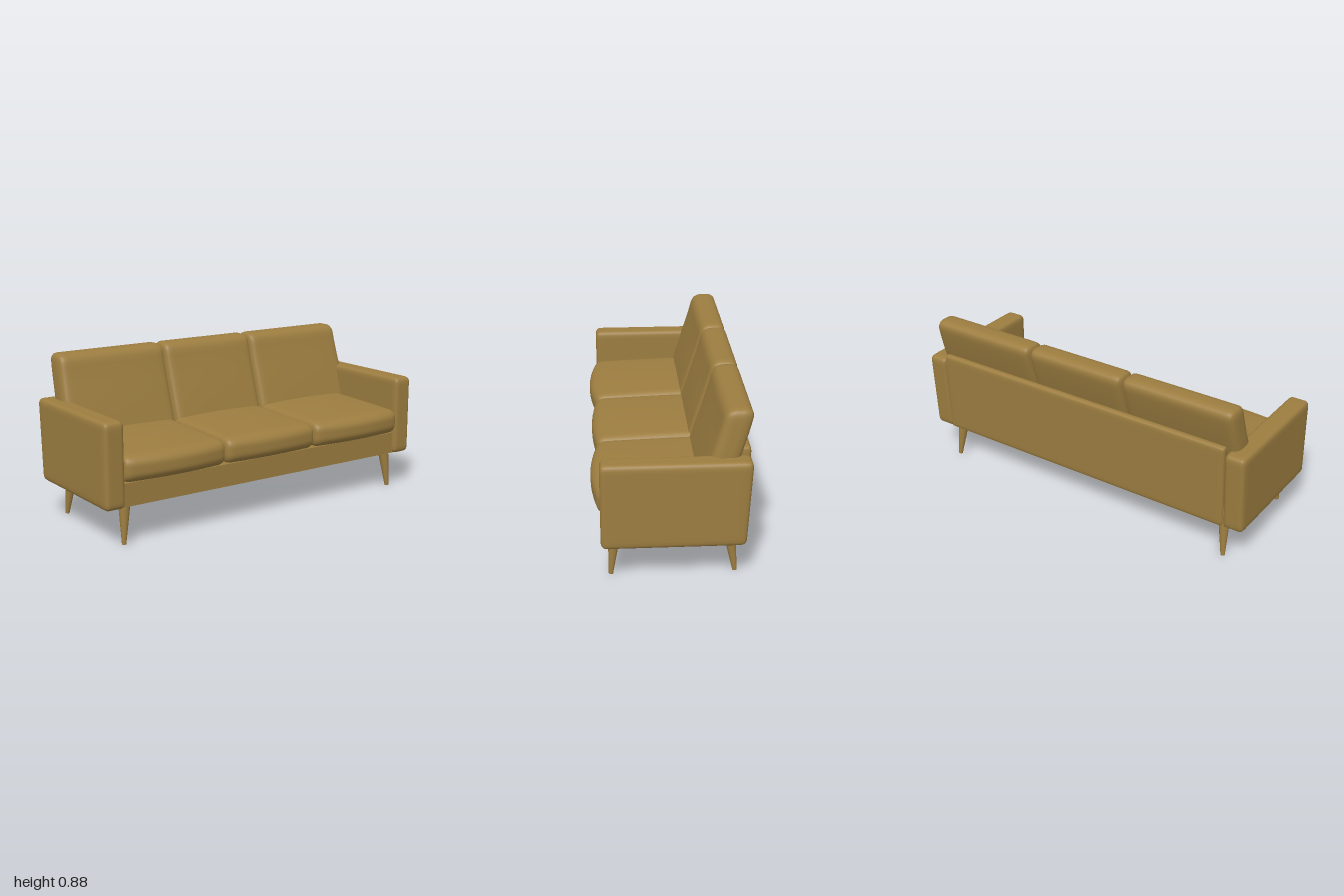
import * as THREE from 'three';
import { mergeVertices } from 'three/addons/utils/BufferGeometryUtils.js';

// Rounded box with soft edges (radii per axis), optionally reshaped by warp(p, u),
// where u holds the position scaled to -1..1
function softBox(size, radii, warp, seg = 20) {
  let g = new THREE.BoxGeometry(2, 2, 2, seg, seg, seg);
  g.deleteAttribute('normal');
  g.deleteAttribute('uv');
  g = mergeVertices(g, 1e-4);
  const half = new THREE.Vector3(...size).multiplyScalar(0.5);
  const r = new THREE.Vector3(...radii);
  const inner = half.clone().sub(r);
  const pos = g.attributes.position;
  const p = new THREE.Vector3(), c = new THREE.Vector3(), d = new THREE.Vector3();
  for (let i = 0; i < pos.count; i++) {
    p.fromBufferAttribute(pos, i);
    // crowd the grid lines towards the edges
    for (const k of ['x', 'y', 'z']) p[k] = Math.sin(p[k] * Math.PI / 2) * half[k];
    c.copy(p).clamp(inner.clone().negate(), inner);
    d.copy(p).sub(c).divide(r).normalize().multiply(r);
    p.copy(c).add(d);
    if (warp) warp(p, p.clone().divide(half));
    pos.setXYZ(i, p.x, p.y, p.z);
  }
  g.computeVertexNormals();
  return g;
}

export function createModel() {
  const sofa = new THREE.Group();
  sofa.name = 'sofa';
  const mustard = new THREE.MeshStandardMaterial({ color: 0x9c7d40 });
  mustard.name = 'mustard';

  const add = (name, geometry, x, y, z) => {
    const mesh = new THREE.Mesh(geometry, mustard);
    mesh.name = name;
    mesh.position.set(x, y, z);
    sofa.add(mesh);
    return mesh;
  };

  // Base under the seat
  add('base', new THREE.BoxGeometry(1.79, 0.12, 0.67), 0, 0.26, -0.015);

  // Thin back panel, leaning slightly backwards
  add('backPanel', softBox([1.77, 0.47, 0.045], [0.012, 0.02, 0.02],
    (p, u) => { p.z -= 0.011 * u.y; }), 0, 0.435, -0.349);

  // Arms: rounded slabs whose rear edge follows the lean of the back
  for (const side of [-1, 1]) {
    add(side > 0 ? 'leftArm' : 'rightArm',
      softBox([0.115, 0.443, 0.713], [0.025, 0.03, 0.03],
        (p, u) => { if (u.z < 0) p.z += 0.012 * u.y * u.z; }),
      side * 0.9425, 0.4185, -0.0145);
  }

  // Seat and back cushions, three of each
  for (const i of [-1, 0, 1]) {
    const label = ['right', 'middle', 'left'][i + 1];

    const bulge = i === 0 ? 0.025 : 0.035;
    add(label + 'SeatCushion', softBox([i === 0 ? 0.584 : 0.602, 0.145, 0.6], [0.03, 0.055, 0.05],
      (p, u) => {
        const across = 1 - u.x * u.x;
        if (u.y > 0) p.y += u.y * (0.014 * across * (1 - u.z * u.z * 0.7) - 0.01 * u.z);
        if (u.z > 0) p.z += bulge * across * u.z ** 4;
      }), i * 0.594, 0.395, 0.05);

    add(label + 'BackCushion', softBox([i === 0 ? 0.574 : 0.645, 0.46, 0.14], [0.03, 0.045, 0.055],
      (p, u) => {
        // gentle fullness in front, taper of the outer edge, backward lean
        if (u.z > 0) p.z += 0.008 * u.z * (1 - u.x * u.x) * (1 - u.y * u.y);
        if (i * u.x > 0) p.x -= 0.012 * u.x * Math.max(u.y, 0);
        p.z -= 0.32 * p.y - 0.012 * Math.max(u.y, 0) ** 3;
      }), i * 0.612, 0.645, -0.262);
  }

  // Tapered, splayed legs
  const up = new THREE.Vector3(0, 1, 0);
  for (const side of [-1, 1]) {
    for (const [end, zFoot, zTop] of [['Front', 0.295, 0.275], ['Back', -0.318, -0.288]]) {
      const foot = new THREE.Vector3(side * 0.88, 0.001, zFoot);
      const top = new THREE.Vector3(side * 0.862, 0.21, zTop);
      const axis = top.clone().sub(foot);
      const mid = top.clone().add(foot).multiplyScalar(0.5);
      const leg = add((side > 0 ? 'left' : 'right') + end + 'Leg',
        new THREE.CylinderGeometry(0.031, 0.011, axis.length(), 20), mid.x, mid.y, mid.z);
      leg.quaternion.setFromUnitVectors(up, axis.normalize());
    }
  }

  return sofa;
}
